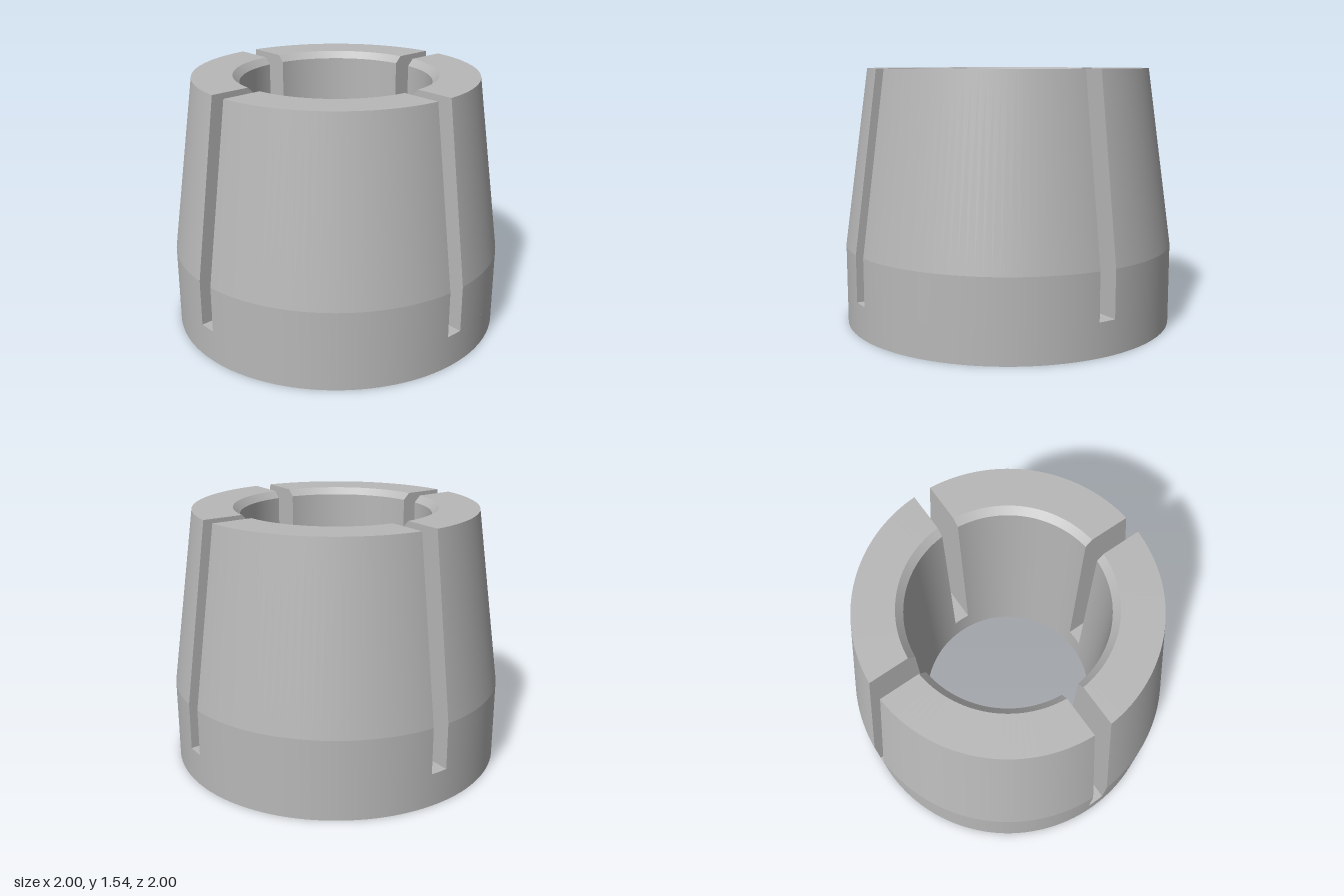
import * as THREE from 'three';
import { mergeGeometries } from 'three/addons/utils/BufferGeometryUtils.js';

const H = 0.053;      // half width of a slot
const FLOOR = 0.2;    // height of the slot floors
const BORE = 0.57;

// Angle a slot edge takes up at radius r, so slots keep parallel sides
const slotAngle = (r) => Math.asin(H / r);

// Sweep one straight profile edge (p to q, as [radius, y]) between two angles
function sweepEdge(p, q, from, to, steps) {
  const pos = [], nor = [], idx = [];
  const dr = q[0] - p[0], dy = q[1] - p[1], len = Math.hypot(dr, dy);
  for (let i = 0; i <= steps; i++) {
    for (const [r, y] of [p, q]) {
      const a = THREE.MathUtils.lerp(from(r), to(r), i / steps);
      pos.push(r * Math.sin(a), y, r * Math.cos(a));
      nor.push(dy / len * Math.sin(a), -dr / len, dy / len * Math.cos(a));
    }
    if (i < steps) {
      const k = i * 2;
      idx.push(k, k + 2, k + 3, k, k + 3, k + 1);
    }
  }
  const g = new THREE.BufferGeometry();
  g.setAttribute('position', new THREE.Float32BufferAttribute(pos, 3));
  g.setAttribute('normal', new THREE.Float32BufferAttribute(nor, 3));
  g.setIndex(idx);
  return g;
}

// Sweep a whole profile, with a crisp edge at each profile point
function sweep(profile, from, to, steps) {
  return mergeGeometries(profile.slice(1).map((q, i) => sweepEdge(profile[i], q, from, to, steps)));
}

// Flat slot wall cut through the profile; side +1 or -1
function slotWall(profile, side) {
  const shape = new THREE.Shape(profile.map(([r, y]) => new THREE.Vector2(side * Math.sqrt(r * r - H * H), y)));
  return new THREE.ShapeGeometry(shape).rotateY(-side * Math.PI / 2).translate(side * H, 0, 0);
}

export function createModel() {
  const model = new THREE.Group();
  model.name = 'slottedTaperedSleeve';
  const steel = new THREE.MeshStandardMaterial({ color: 0xb8b8b8 });
  steel.name = 'steel grey';

  const add = (name, geometry, angle = 0) => {
    const mesh = new THREE.Mesh(geometry, steel);
    mesh.name = name;
    mesh.rotation.y = angle;
    model.add(mesh);
  };

  // Unbroken ring below the slots: bore, underside, outside
  const base = [[BORE, FLOOR], [BORE, 0], [1, 0], [1, FLOOR]];
  add('baseRing', sweep(base, () => 0, () => Math.PI * 2, 128));

  // Jaw profile: straight collar, taper, top rim, bore chamfer, bore
  const jaw = [[1, FLOOR], [1, 0.48], [0.85, 1.54], [0.61, 1.54], [BORE, 1.5], [BORE, FLOOR]];
  const jawGeometry = sweep(jaw, (r) => -Math.PI / 4 + slotAngle(r), (r) => Math.PI / 4 - slotAngle(r), 32);
  const floorGeometry = sweep([[1, FLOOR], [BORE, FLOOR]], (r) => -slotAngle(r), slotAngle, 4);
  const walls = mergeGeometries([slotWall(jaw, 1), slotWall(jaw, -1)]);

  // Four jaws separated by four diagonal slots
  for (let k = 0; k < 4; k++) {
    const angle = k * Math.PI / 2;
    add('jaw', jawGeometry, angle);
    add('slotFloor', floorGeometry, angle + Math.PI / 4);
    add('slotWalls', walls, angle + Math.PI / 4);
  }
  return model;
}
